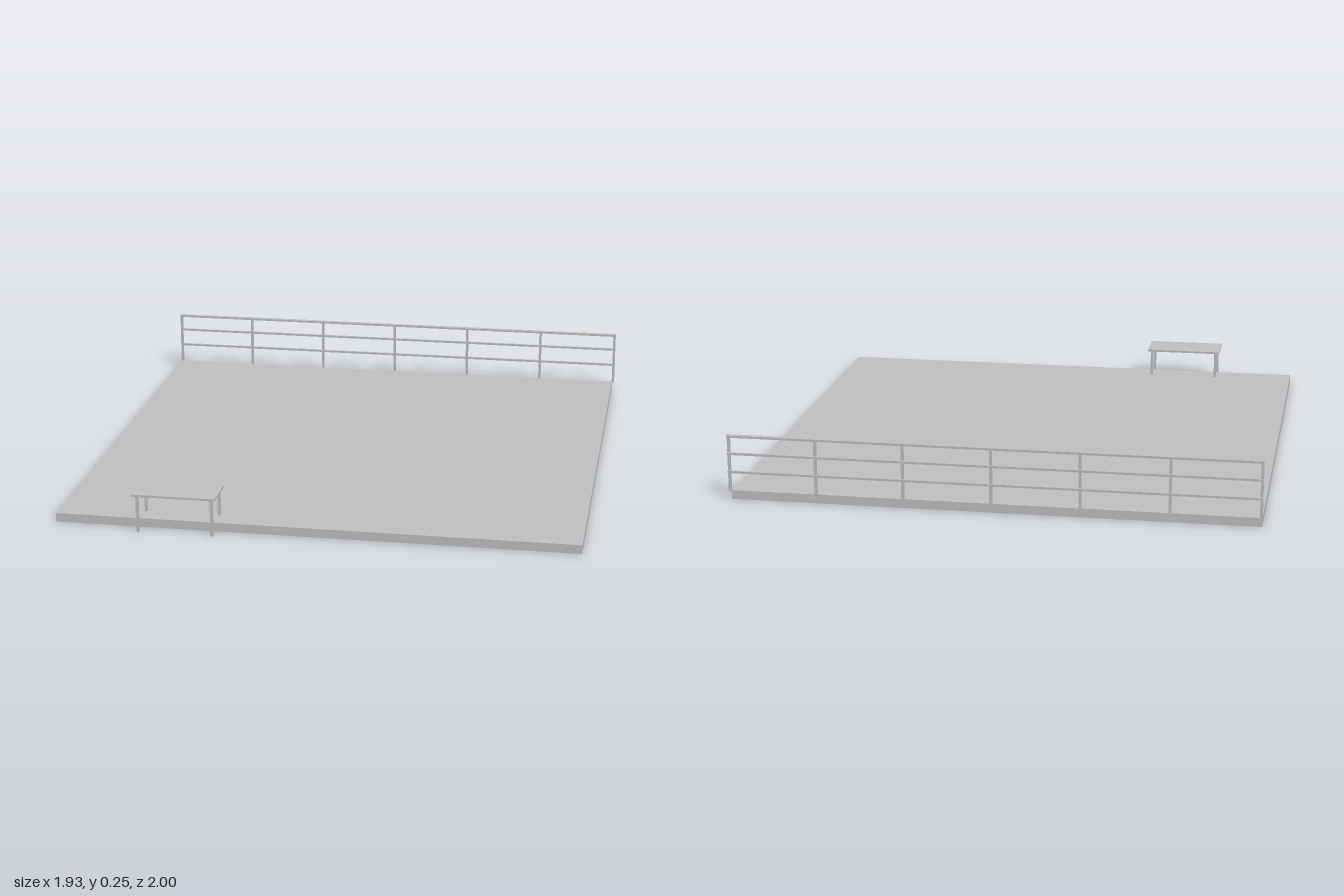
import * as THREE from 'three';

export function createModel() {
  const model = new THREE.Group();
  const grey = new THREE.MeshStandardMaterial({ color: 0xc0c0c0 });
  grey.name = 'light grey';

  // Box given by its minimum and maximum corners
  function box(parent, name, [x0, y0, z0], [x1, y1, z1]) {
    const mesh = new THREE.Mesh(new THREE.BoxGeometry(x1 - x0, y1 - y0, z1 - z0), grey);
    mesh.position.set((x0 + x1) / 2, (y0 + y1) / 2, (z0 + z1) / 2);
    mesh.name = name;
    parent.add(mesh);
  }

  // Floor slab
  box(model, 'floorSlab', [-0.965, 0, -0.983], [0.957, 0.033, 0.94]);

  // Railing along the back edge: seven posts and three rails
  const railing = new THREE.Group();
  railing.name = 'railing';
  for (let i = 0; i < 7; i++) {
    const x = -0.961 + i * 0.3203;
    box(railing, 'railingPost', [x - 0.005, 0.03, -0.992], [x + 0.005, 0.241, -0.982]);
  }
  for (const y of [0.107, 0.176, 0.241]) {
    box(railing, 'rail', [-0.966, y - 0.004, -1], [0.966, y + 0.004, y > 0.2 ? -0.982 : -0.99]);
  }
  model.add(railing);

  // Table straddling the front edge
  const table = new THREE.Group();
  table.name = 'table';
  box(table, 'tableTop', [-0.662, 0.138, 0.847], [-0.354, 0.146, 1]);
  for (const x of [-0.644, -0.37]) {
    for (const z of [0.862, 0.986]) {
      box(table, 'tableLeg', [x - 0.005, 0, z - 0.005], [x + 0.005, 0.138, z + 0.005]);
    }
  }
  model.add(table);

  return model;
}
